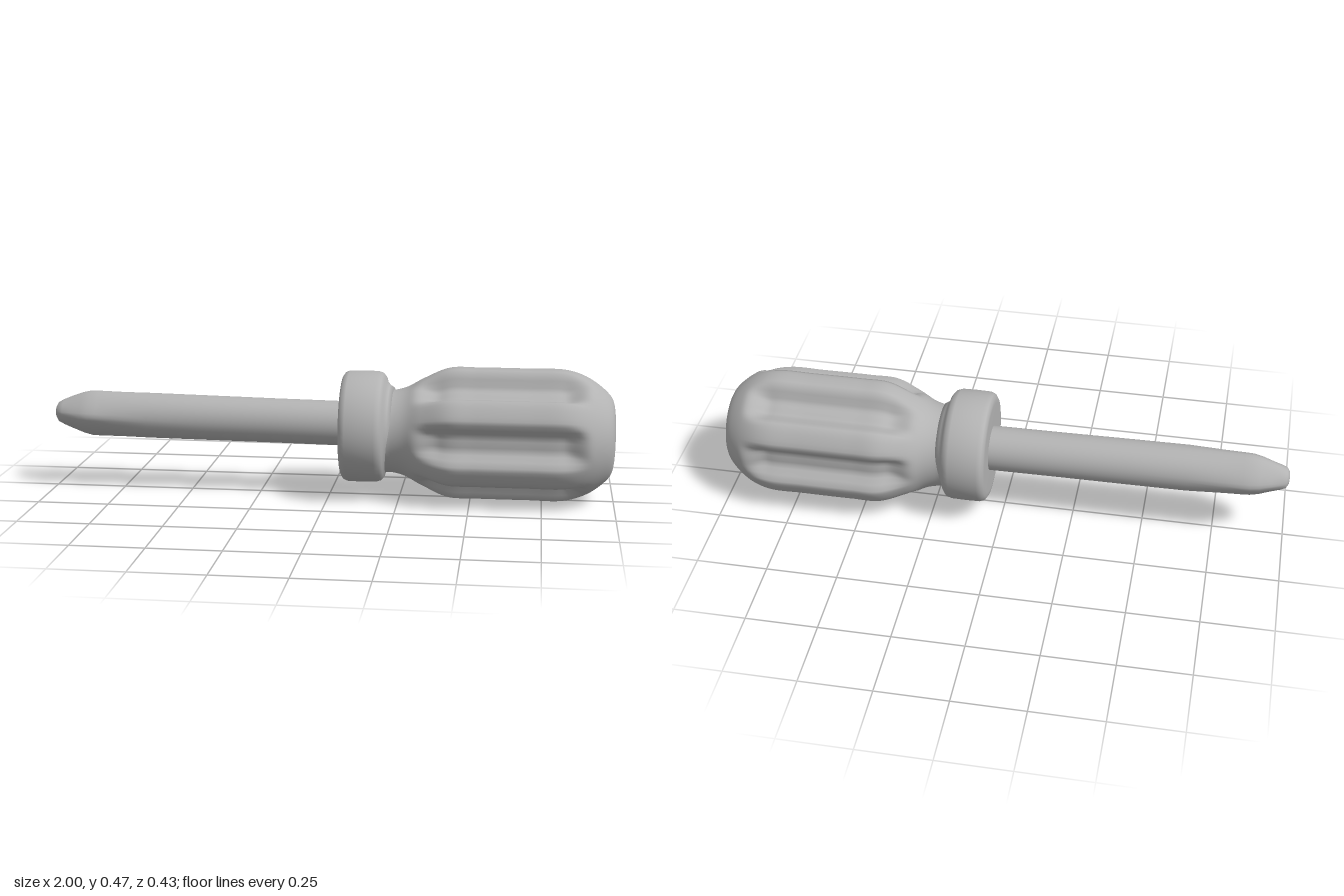
import * as THREE from 'three';

const { smoothstep } = THREE.MathUtils;

// Smooth body swept along x. Each ring is [x, radius, centreY, centreZ];
// shape(x, angle, radius) may vary the radius around the ring.
function sweep(rings, sides, shape = (x, a, r) => r) {
  const pos = [], index = [];
  rings.forEach(([x, r, cy, cz]) => {
    for (let j = 0; j < sides; j++) {
      const a = (j / sides) * Math.PI * 2;
      const s = shape(x, a, r);
      pos.push(x, cy + s * Math.sin(a), cz + s * Math.cos(a));
    }
  });
  for (let i = 0; i < rings.length - 1; i++) {
    for (let j = 0; j < sides; j++) {
      const k = (j + 1) % sides;
      const a = i * sides + j, b = i * sides + k;
      const c = a + sides, d = b + sides;
      index.push(a, c, b, b, c, d);
    }
  }
  const geometry = new THREE.BufferGeometry();
  geometry.setAttribute('position', new THREE.Float32BufferAttribute(pos, 3));
  geometry.setIndex(index);
  geometry.computeVertexNormals();
  return geometry;
}

// Rounded outline through [x, radius] points, sampled into rings
function outline(points, samples, cy, cz) {
  const curve = new THREE.CatmullRomCurve3(
    points.map(([x, r]) => new THREE.Vector3(x, r, 0)), false, 'centripetal');
  return curve.getSpacedPoints(samples).map((p) => [p.x, Math.max(p.y, 0), cy, cz]);
}

export function createModel() {
  const group = new THREE.Group();
  const grey = new THREE.MeshStandardMaterial({ color: 0xb3b3b3 });
  grey.name = 'plain grey';

  const add = (name, geometry) => {
    const mesh = new THREE.Mesh(geometry, grey);
    mesh.name = name;
    group.add(mesh);
  };

  // Handle: six scooped grooves between six rounded ridges
  const handleRings = outline([
    [0.17, 0], [0.17, 0.145], [0.22, 0.145], [0.27, 0.157], [0.33, 0.19],
    [0.42, 0.229], [0.52, 0.232], [0.7, 0.232], [0.82, 0.231], [0.88, 0.215],
    [0.94, 0.18], [0.985, 0.135], [0.995, 0.1], [1, 0],
  ], 90, 0.235, 0);
  add('handle', sweep(handleRings, 96, (x, a, r) => {
    const along = smoothstep(x, 0.29, 0.4) * (1 - smoothstep(x, 0.82, 0.92));
    const around = smoothstep(Math.cos(6 * a), -0.55, 0.7);
    const ridge = 0.004 * (1 - Math.cos(6 * a)) / 2;
    return r - along * (0.05 * around + 0.004 - ridge);
  }));

  // Collar between handle and shaft
  add('collar', sweep([
    [0.045, 0], [0.045, 0.16], [0.047, 0.178], [0.055, 0.19], [0.07, 0.196],
    [0.12, 0.197], [0.17, 0.196], [0.187, 0.19], [0.197, 0.177], [0.202, 0.16],
    [0.212, 0.148], [0.225, 0.14], [0.225, 0],
  ].map(([x, r]) => [x, r, 0.25, 0]), 48));

  // Shaft: slightly tilted, ending in a tapered four-edged tip
  const shaftRings = [
    [-1, 0], [-0.999, 0.02], [-0.99, 0.036], [-0.97, 0.047], [-0.94, 0.06],
    [-0.9, 0.075], [-0.87, 0.082], [-0.84, 0.083], [-0.78, 0.082], [-0.65, 0.081],
    [-0.45, 0.08], [-0.2, 0.079], [0.08, 0.079],
  ].map(([x, r]) => {
    const t = (0.08 - x) / 1.08;
    return [x, r, 0.255 + 0.015 * t, -0.01 - 0.006 * t];
  });
  add('shaft', sweep(shaftRings, 40, (x, a, r) => {
    const edged = smoothstep(x, -1, -0.94) * (1 - smoothstep(x, -0.88, -0.6));
    return r * (1 - 0.13 * edged * Math.abs(Math.sin(2 * a)));
  }));

  return group;
}
